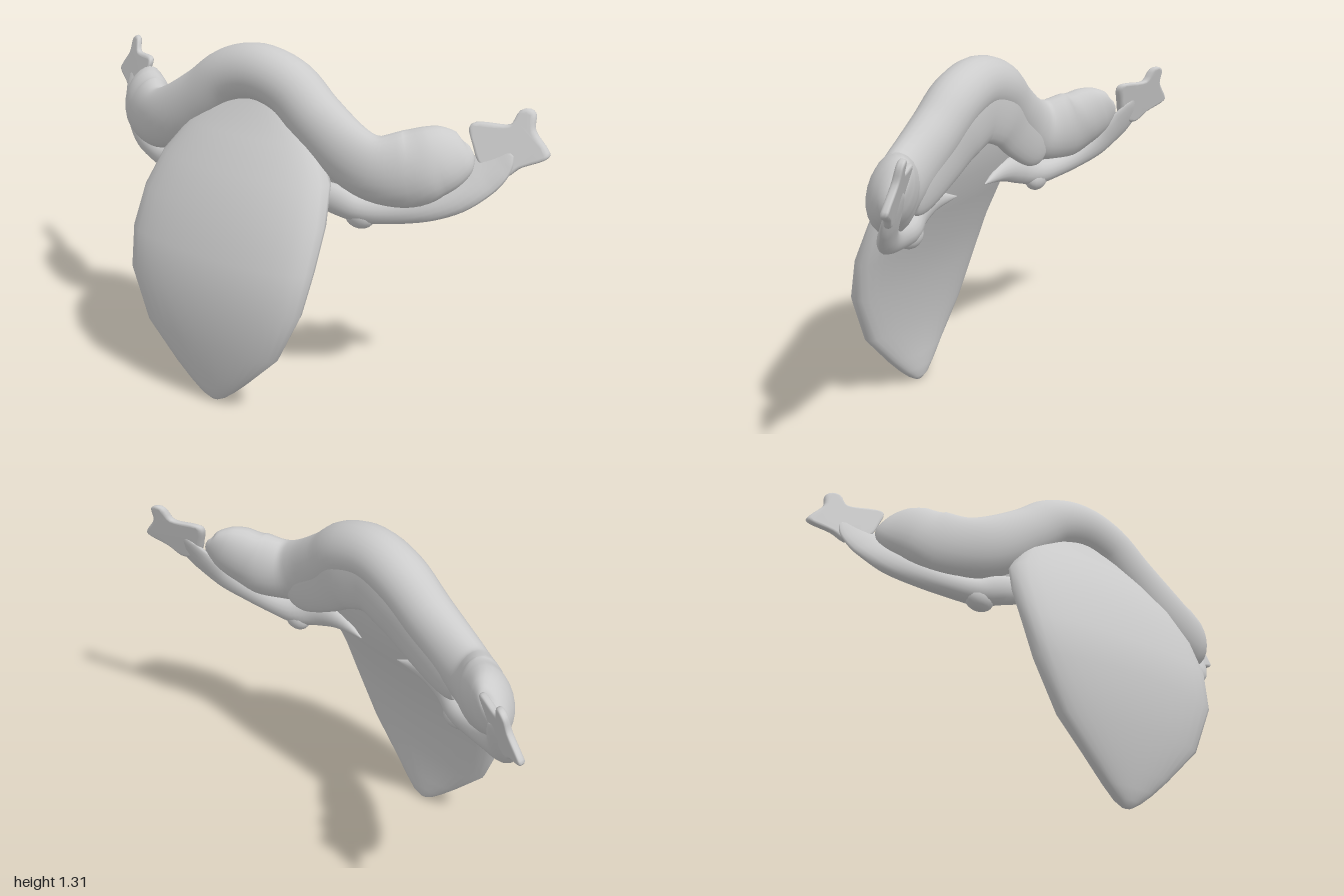
import * as THREE from 'three';
import { mergeVertices } from 'three/addons/utils/BufferGeometryUtils.js';

const V = (x, y, z) => new THREE.Vector3(x, y, z);

function part(name, geometry) {
  const m = new THREE.Mesh(geometry, new THREE.MeshStandardMaterial({ color: 0xcccccc }));
  m.name = name;
  return m;
}

// Skin a list of closed rings, with a centre point capping each end.
function loft(rings) {
  const n = rings[0].length, pos = [], idx = [];
  rings.forEach(r => r.forEach(p => pos.push(p.x, p.y, p.z)));
  for (let i = 0; i < rings.length - 1; i++) {
    for (let j = 0; j < n; j++) {
      const a = i * n + j, b = i * n + (j + 1) % n;
      idx.push(a, b, a + n, b, b + n, a + n);
    }
  }
  [0, rings.length - 1].forEach(i => {
    const c = rings[i].reduce((s, p) => s.add(p), V(0, 0, 0)).divideScalar(n);
    const k = pos.length / 3;
    pos.push(c.x, c.y, c.z);
    for (let j = 0; j < n; j++) {
      const a = i * n + j, b = i * n + (j + 1) % n;
      i === 0 ? idx.push(k, b, a) : idx.push(k, a, b);
    }
  });
  const g = new THREE.BufferGeometry();
  g.setAttribute('position', new THREE.Float32BufferAttribute(pos, 3));
  g.setIndex(idx);
  g.computeVertexNormals();
  return g;
}

// Oval tube through points [x, y, z, radius across, radius in depth].
function sweep(points, steps, sides) {
  const path = new THREE.CatmullRomCurve3(points.map(p => V(p[0], p[1], p[2])), false, 'catmullrom');
  const size = new THREE.CatmullRomCurve3(points.map(p => V(p[3], p[4], 0)), false, 'catmullrom');
  const rings = [];
  for (let i = 0; i <= steps; i++) {
    const t = i / steps, c = path.getPoint(t), s = size.getPoint(t);
    const T = path.getTangent(t);
    const N = V(0, 0, 1).cross(T).normalize();
    const B = T.clone().cross(N);
    const ring = [];
    for (let j = 0; j < sides; j++) {
      const a = j / sides * Math.PI * 2;
      ring.push(c.clone()
        .addScaledVector(N, Math.cos(a) * Math.max(s.x, 0.001))
        .addScaledVector(B, Math.sin(a) * Math.max(s.y, 0.001)));
    }
    rings.push(ring);
  }
  return loft(rings);
}

const mirrorX = points => points.map(([x, ...rest]) => [-x, ...rest]);
const symmetric = (middle, half) => [...mirrorX(half).reverse(), middle, ...half];

// Curved shield: rows of [y, half width, rim z, front z, back z].
function shieldGeometry() {
  const rows = [
    [0, 0.02, 0.235, 0.245, 0.225], [0.02, 0.055, 0.238, 0.262, 0.212],
    [0.06, 0.105, 0.245, 0.275, 0.207], [0.12, 0.17, 0.25, 0.29, 0.205],
    [0.26, 0.31, 0.25, 0.32, 0.2],
    [0.45, 0.395, 0.235, 0.335, 0.155], [0.6, 0.415, 0.195, 0.305, 0.105],
    [0.75, 0.41, 0.125, 0.25, 0.035], [0.88, 0.375, 0.05, 0.185, -0.03],
    [1.0, 0.29, 0, 0.1, -0.06], [1.1, 0.17, -0.02, 0.025, -0.07],
    [1.17, 0.03, -0.03, 0, -0.06],
  ];
  const rings = rows.map(([y, w, rim, front, back]) => {
    const ring = [];
    for (let j = 0; j < 32; j++) {
      const a = j / 32 * Math.PI * 2, c = Math.cos(a);
      const bulge = Math.abs(c) ** 0.8;
      ring.push(V(w * Math.sin(a), y, rim + bulge * (c > 0 ? front - rim : back - rim)));
    }
    return ring;
  });
  return loft(rings);
}

// Flat three-pointed hand, slanting backwards towards its outer points.
function handGeometry(side) {
  const outline = [
    [0.84, 0.95], [0.8, 0.99], [0.775, 1.04], [0.755, 1.09], [0.78, 1.1],
    [0.87, 1.1], [0.895, 1.15], [0.925, 1.145], [0.935, 1.09],
    [0.985, 1.03], [0.985, 1.01], [0.92, 0.98], [0.88, 0.945],
  ].map(([x, y]) => new THREE.Vector2(side * x, y));
  outline.push(outline[0].clone());
  const shape = new THREE.Shape(new THREE.SplineCurve(outline).getPoints(52).slice(0, -1));
  let g = new THREE.ExtrudeGeometry(shape, {
    depth: 0.01, bevelEnabled: true, bevelSize: 0.01, bevelThickness: 0.01, bevelSegments: 3,
  });
  const p = g.attributes.position;
  for (let i = 0; i < p.count; i++) {
    const lean = 0.42 * (Math.abs(p.getX(i)) - 0.77) + 0.3 * (p.getY(i) - 1.05);
    p.setZ(i, p.getZ(i) - 0.25 - lean);
  }
  g.deleteAttribute('uv');
  g.deleteAttribute('normal');
  g = mergeVertices(g, 1e-4);
  g.computeVertexNormals();
  return g;
}

export function createModel() {
  const group = new THREE.Group();
  group.name = 'model';
  group.add(part('shieldBody', shieldGeometry()));

  // Wavy roll across the top, thick and swept back at both ends
  const roll = symmetric([0, 1.205, -0.033, 0.105, 0.097], [
    [0.14, 1.17, -0.033, 0.105, 0.097], [0.26, 1.08, -0.025, 0.107, 0.09],
    [0.4, 0.985, -0.02, 0.115, 0.08], [0.5, 0.945, -0.035, 0.12, 0.075],
    [0.6, 0.95, -0.085, 0.135, 0.082], [0.67, 0.98, -0.13, 0.125, 0.08],
    [0.72, 1.005, -0.175, 0.105, 0.06], [0.75, 1.025, -0.21, 0.065, 0.03],
    [0.76, 1.035, -0.22, 0.001, 0.001],
  ]);
  group.add(part('wavyRoll', sweep(roll, 90, 24)));

  // Flat band behind the roll, reaching down onto the back of the shield
  const band = symmetric([0, 1.145, -0.075, 0.15, 0.045], [
    [0.14, 1.1, -0.075, 0.145, 0.045], [0.26, 1.02, -0.062, 0.135, 0.042],
    [0.4, 0.935, -0.055, 0.115, 0.038], [0.47, 0.915, -0.06, 0.08, 0.025],
  ]);
  group.add(part('backBand', sweep(band, 48, 24)));

  // Arms taper to a spike behind the shield and curl around the roll
  const arm = [
    [0.1, 0.81, -0.01, 0.002, 0.002], [0.25, 0.825, 0, 0.04, 0.03],
    [0.36, 0.81, -0.01, 0.055, 0.04], [0.45, 0.785, -0.04, 0.05, 0.045],
    [0.55, 0.79, -0.07, 0.045, 0.04], [0.66, 0.815, -0.11, 0.048, 0.035],
    [0.75, 0.862, -0.165, 0.058, 0.03], [0.81, 0.93, -0.22, 0.07, 0.022],
    [0.845, 0.985, -0.256, 0.065, 0.015], [0.865, 1.03, -0.278, 0.04, 0.008],
  ];
  [['left', 1, arm], ['right', -1, mirrorX(arm)]].forEach(([label, s, points]) => {
    group.add(part(label + 'Arm', sweep(points, 45, 16)));
    group.add(part(label + 'Hand', handGeometry(s)));
    // Rounded elbow tucked under the arm
    const elbow = part(label + 'Elbow', new THREE.SphereGeometry(0.05, 16, 12));
    elbow.position.set(s * 0.445, 0.76, -0.04);
    elbow.scale.set(1.2, 0.95, 0.8);
    group.add(elbow);
  });
  return group;
}
